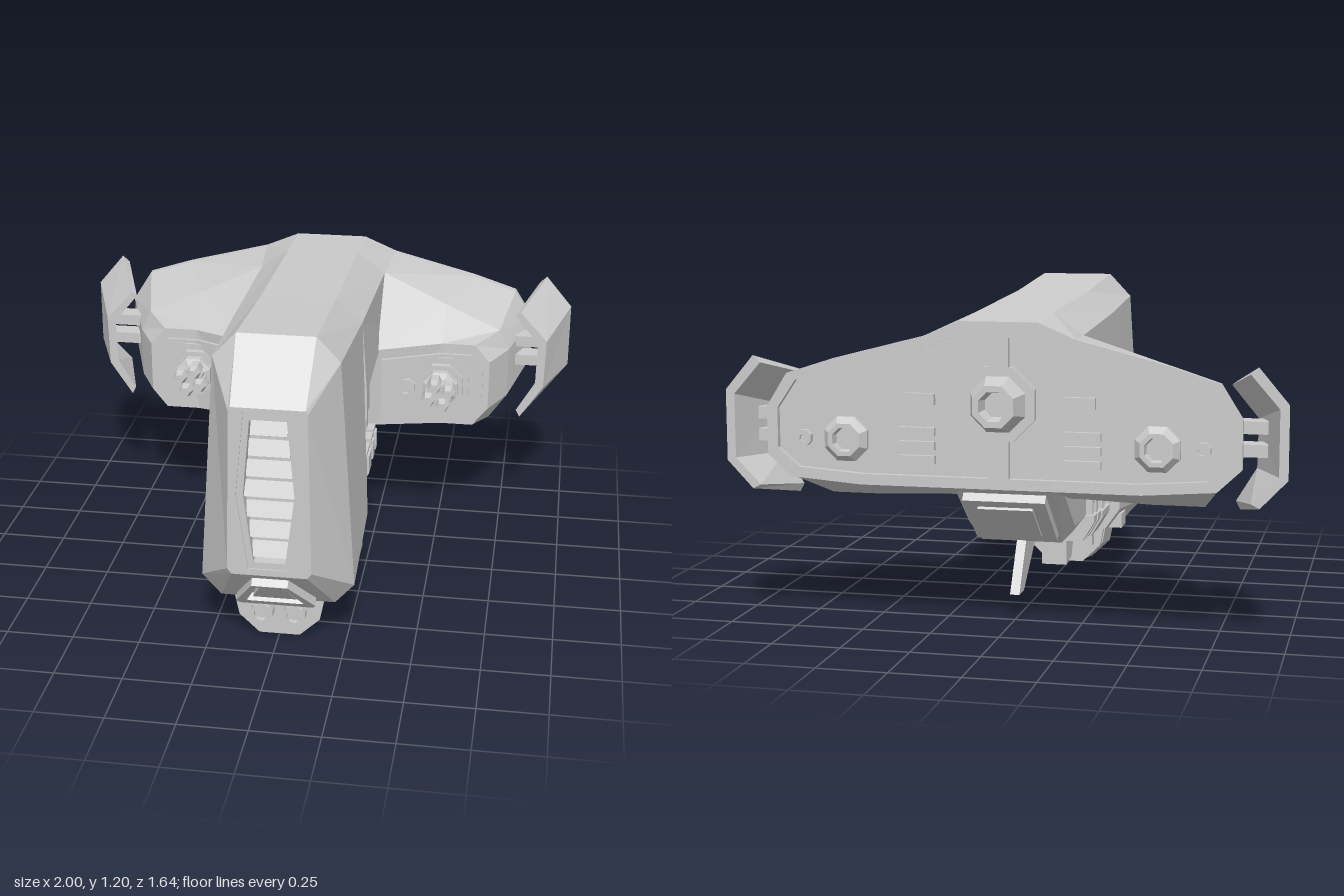
import * as THREE from 'three';

const mat = new THREE.MeshStandardMaterial({ color: 0xcccccc, flatShading: true, side: THREE.DoubleSide });

function add(parent, name, geo, x = 0, y = 0, z = 0, rx = 0) {
  const m = new THREE.Mesh(geo, mat);
  m.name = name;
  m.position.set(x, y, z);
  m.rotation.x = rx;
  parent.add(m);
  return m;
}

// Solid through equal-length loops of [x, y, z]; caps pair point i with its opposite n-1-i.
function loft(loops, capStart = true) {
  const n = loops[0].length, tri = [];
  const quad = (a, b, c, d) => tri.push(a, b, c, a, c, d);
  for (let k = 0; k + 1 < loops.length; k++)
    for (let i = 0; i < n; i++) {
      const j = (i + 1) % n;
      quad(loops[k][i], loops[k][j], loops[k + 1][j], loops[k + 1][i]);
    }
  const cap = (l, flip) => {
    for (let i = 0; i + 1 < n / 2; i++) {
      const q = [l[i], l[n - 1 - i], l[n - 2 - i], l[i + 1]];
      quad(...(flip ? q.reverse() : q));
    }
  };
  if (capStart) cap(loops[0], true);
  cap(loops[loops.length - 1], false);
  // turn the faces outward
  let vol = 0;
  const v = tri.map(p => new THREE.Vector3(...p));
  for (let i = 0; i < v.length; i += 3) vol += v[i].dot(v[i + 1].clone().cross(v[i + 2]));
  if (vol < 0) for (let i = 0; i < v.length; i += 3) [v[i + 1], v[i + 2]] = [v[i + 2], v[i + 1]];
  const g = new THREE.BufferGeometry().setFromPoints(v);
  g.computeVertexNormals();
  return g;
}

const sym = (half, z) => [
  ...half.map(([x, y]) => [x, y, z]),
  ...half.slice().reverse().map(([x, y]) => [-x, y, z])];
const symXY = half => sym(half, 0).map(p => [p[0], p[1]]);

function plate(points, depth, hole) {
  const s = new THREE.Shape(points.map(p => new THREE.Vector2(p[0], p[1])));
  if (hole) s.holes.push(new THREE.Path(hole.map(p => new THREE.Vector2(p[0], p[1]))));
  return new THREE.ExtrudeGeometry(s, { depth, bevelEnabled: false });
}

const box = (x0, x1, y0, y1, z0, z1) =>
  new THREE.BoxGeometry(x1 - x0, y1 - y0, z1 - z0).translate((x0 + x1) / 2, (y0 + y1) / 2, (z0 + z1) / 2);

// Turned part along z from [radius, z] points
const turned = (pts, sides = 8) =>
  new THREE.LatheGeometry(pts.map(p => new THREE.Vector2(...p)), sides, Math.PI / sides).rotateX(Math.PI / 2);

// Mirror copy with baked positions and corrected face order
function mirrored(group) {
  const out = new THREE.Group();
  group.updateMatrixWorld(true);
  group.traverse(o => {
    if (!o.isMesh) return;
    const g = o.geometry.index ? o.geometry.toNonIndexed() : o.geometry.clone();
    g.applyMatrix4(o.matrixWorld).scale(-1, 1, 1);
    const p = g.attributes.position, a = new THREE.Vector3(), b = new THREE.Vector3();
    for (let i = 0; i < p.count; i += 3) {
      a.fromBufferAttribute(p, i + 1);
      b.fromBufferAttribute(p, i + 2);
      p.setXYZ(i + 1, b.x, b.y, b.z);
      p.setXYZ(i + 2, a.x, a.y, a.z);
    }
    g.computeVertexNormals();
    add(out, o.name, g);
  });
  return out;
}

function buildSide() {
  const g = new THREE.Group();
  // wing: front, middle and rear sections from the centre outward
  const front = [[0, .81, -.25], [.14, .81, -.25], [.25, .81, -.25], [.5, .81, -.36], [.63, .81, -.36], [.69, .74, -.36],
    [.69, .54, -.36], [.63, .465, -.36], [.5, .465, -.36], [.25, .48, -.27], [.14, .48, -.27], [0, .48, -.27]];
  const mid = [[0, 1.128], [.14, 1.128], [.25, 1.05], [.5, .93], [.72, .83], [.76, .75],
    [.76, .55], [.69, .45], [.5, .45], [.25, .46], [.14, .46], [0, .46]].map(p => [...p, -.49]);
  const rear = [[0, 1.115], [.14, 1.115], [.27, 1.06], [.6, .975], [.77, .92], [.845, .8],
    [.845, .63], [.76, .55], [.5, .53], [.25, .53], [.14, .53], [0, .53]];
  add(g, 'wing', loft([front, mid, rear.map(p => [...p, -.725])]));
  add(g, 'rearRim', plate(rear, .025, rear.map(([x, y]) => [.41 + (x - .41) * .91, .77 + (y - .77) * .84])), 0, 0, -.747);

  // raised panel following the bent wing front
  const faceZ = x => (x < .5 ? -.25 - (x - .25) * .44 : -.36);
  const panel = [[.27, .77], [.5, .77], [.62, .77], [.665, .72], [.665, .57], [.62, .52], [.5, .52], [.27, .52]];
  add(g, 'wingPanel', loft([-.02, .012].map(d => panel.map(([x, y]) => [x, y, faceZ(x) + d]))));

  // gun cluster
  add(g, 'gunMount', turned([[0, -.38], [.12, -.38], [.12, -.338], [.095, -.338], [.095, -.31], [.075, -.31],
    [.075, -.28], [.05, -.27], [.05, -.22], [0, -.22]]), .5, .645);
  for (let i = 0; i < 4; i++) {
    const a = i * Math.PI / 2 + .4;
    add(g, 'gunBarrel', turned([[0, -.3], [.027, -.3], [.03, -.22], [.02, -.185], [0, -.185]], 6),
      .5 + Math.cos(a) * .042, .645 + Math.sin(a) * .042);
  }
  add(g, 'wingLamp', turned([[0, -.33], [.038, -.33], [.038, -.272], [.024, -.272], [.024, -.285], [0, -.285]]), .365, .645);

  // bent wing tip shield and its struts
  const tip = [[[.895, .98], [1, .855], [1, .6], [.905, .5]], [[.80, .905], [.91, .785], [.905, .585], [.815, .45]]];
  const inner = [[[.868, .955], [.968, .84], [.968, .61], [.875, .515]], [[.78, .89], [.875, .775], [.872, .6], [.80, .48]]];
  add(g, 'tipShield', loft([0, 1].map(k => {
    const z = k ? -.505 : -.745;
    return [...tip[k], ...inner[k].slice().reverse()].map(p => [...p, z]);
  })));
  for (const y of [.76, .68]) add(g, 'tipStrut', box(.78, .92, y - .022, y + .022, -.64, -.56));

  // side engine, small thruster and rear vents
  add(g, 'sideEngine', turned([[0, -.71], [.085, -.71], [.085, -.74], [.062, -.765], [.045, -.765], [.04, -.735], [0, -.735]]), .555, .69);
  add(g, 'smallThruster', turned([[0, -.72], [.03, -.72], [.03, -.75], [.015, -.75], [.015, -.735], [0, -.735]]), .71, .69);
  add(g, 'rearVent', box(.23, .34, .82, .86, -.745, -.72));
  for (let i = 0; i < 3; i++) add(g, 'rearVent', box(.23, .36, .61 + i * .05, .64 + i * .05, -.745, -.72));

  // machinery in the side recess: y0, y1, z0, z1, outer x
  const parts = [
    [.53, .74, -.23, .13, .21], [.55, .70, .09, .11, .222], [.55, .70, -.05, -.03, .222], [.55, .70, -.09, -.06, .222],
    [.53, .74, -.15, -.11, .23], [.57, .68, -.24, -.19, .225],
    [.41, .515, -.015, .09, .255], [.41, .515, -.115, -.05, .255], [.41, .515, -.2, -.14, .255],
    [.43, .48, .08, .145, .235], [.31, .42, .055, .075, .225], [.31, .42, .025, .045, .225],
    [.31, .42, -.095, -.07, .225], [.31, .42, -.18, -.155, .225], [.375, .4, -.01, .01, .22], [.375, .4, -.12, -.1, .22]];
  for (const [y0, y1, z0, z1, x] of parts) add(g, 'recessMachinery', box(.16, x, y0, y1, z0, z1));
  for (const [z0, z1] of [[-.005, .08], [-.105, -.06], [-.19, -.15]])
    add(g, 'recessCover', box(.2, .263, .425, .5, z0, z1));
  add(g, 'sideHatch', box(.2, .262, .205, .262, .25, .345));
  add(g, 'chinLamp', turned([[0, .55], [.042, .55], [.042, .65], [.028, .65], [.028, .63], [0, .63]], 12), .06, .105);
  return g;
}

export function createModel() {
  const root = new THREE.Group();
  root.name = 'spacecraft';

  // forward hull with an open nose closed by a pierced plate
  const nose = [[.13, 1.0], [.137, .985], [.15, .38], [.135, .36]];
  add(root, 'forwardHull', loft([
    sym(nose, .82),
    sym([[.14, 1.2], [.225, 1.11], [.28, .25], [.21, .172]], .64),
    sym([[.14, 1.16], [.24, 1.08], [.27, .3], [.21, .215]], .16)], false));
  const grille = symXY([[.085, .985], [.115, .67], [.075, .385]]);
  const opening = symXY([[.065, .955], [.09, .67], [.057, .41]]);
  add(root, 'nosePlate', plate(symXY(nose), .03, grille), 0, 0, .79);
  add(root, 'grilleFrame', plate(grille, .05, opening), 0, 0, .765);
  add(root, 'grilleBack', plate(grille, .01), 0, 0, .755);
  for (let i = 0; i < 7; i++) {
    const y = .45 + i * .078;
    const w = .09 - Math.abs(y - .67) * .1;
    add(root, 'grilleSlat', new THREE.BoxGeometry(2 * w, .06, .014), 0, y, .785, -.45);
  }

  // chin window on the sloped underside of the nose
  const chin = new THREE.Group();
  chin.name = 'chinWindow';
  chin.position.set(0, .265, .73);
  chin.rotation.x = .76;
  add(chin, 'windowFrame', plate(symXY([[.065, .1], [.145, -.09], [.135, -.115]]), .045,
    symXY([[.05, .08], [.105, -.075], [.1, -.08]])), 0, 0, -.015);
  add(chin, 'windowPane', plate(symXY([[.04, .06], [.08, -.06]]), .02));
  root.add(chin);

  // upper hull and recessed inner hull
  add(root, 'upperHull', loft([
    sym([[.14, 1.16], [.24, 1.08], [.26, .8]], .16),
    sym([[.14, 1.128], [.25, 1.05], [.255, .8]], -.49)]));
  add(root, 'innerHull', loft([
    sym([[.2, .85], [.2, .33], [.15, .27]], .2),
    sym([[.2, .85], [.2, .34], [.15, .275]], -.39),
    sym([[.2, .85], [.2, .6], [.15, .55]], -.715)]));

  // belly ribs wrapping under the inner hull
  for (const [z0, z1, y] of [[-.03, .13, .225], [-.115, -.055, .235], [-.2, -.14, .24]])
    add(root, 'bellyRib', loft([z0, z1].map(z => sym([[.235, y + .1], [.235, y + .075], [.19, y]], z))));

  // rear belly hatch
  add(root, 'bellyHatch', box(-.15, .15, -.02, .02, -.14, .14), 0, .40, -.555, .69);
  add(root, 'bellyHatchPanel', box(-.1, .1, -.03, 0, -.1, .1), 0, .40, -.555, .69);

  // keel fins in side profile [z, y]
  const fin = (name, pts, w) => add(root, name,
    plate(pts.map(([z, y]) => [-z, y]), w).rotateY(Math.PI / 2).translate(-w / 2, 0, 0));
  fin('rearFin', [[-.21, .29], [-.385, .29], [-.505, .098], [-.43, .098], [-.22, .265]], .035);
  fin('frontFin', [[.36, .21], [.18, .23], [.18, .058], [.285, .072]], .1);

  // chin turret: block, rear slice and connectors
  const turret = [[.165, .2], [.165, .15], [.15, .075], [.075, .004]];
  const slice = turret.map(([x, y]) => [x * .97, y + .02]);
  add(root, 'chinTurret', loft([sym(turret, .608), sym(slice, .46)]));
  add(root, 'turretSlice', loft([sym(slice, .43), sym(slice, .405)]));
  add(root, 'turretConnector', box(-.12, .12, .1, .19, .36, .5));

  // central engine
  add(root, 'enginePlate', turned([[0, -.7], [.14, -.7], [.14, -.748], [0, -.748]]), 0, .83);
  add(root, 'mainEngine', turned([[.105, -.72], [.105, -.75], [.078, -.82], [.055, -.82], [.045, -.765], [0, -.765]]), 0, .83);

  const left = buildSide();
  left.name = 'leftSide';
  const right = mirrored(left);
  right.name = 'rightSide';
  root.add(left, right);
  return root;
}
